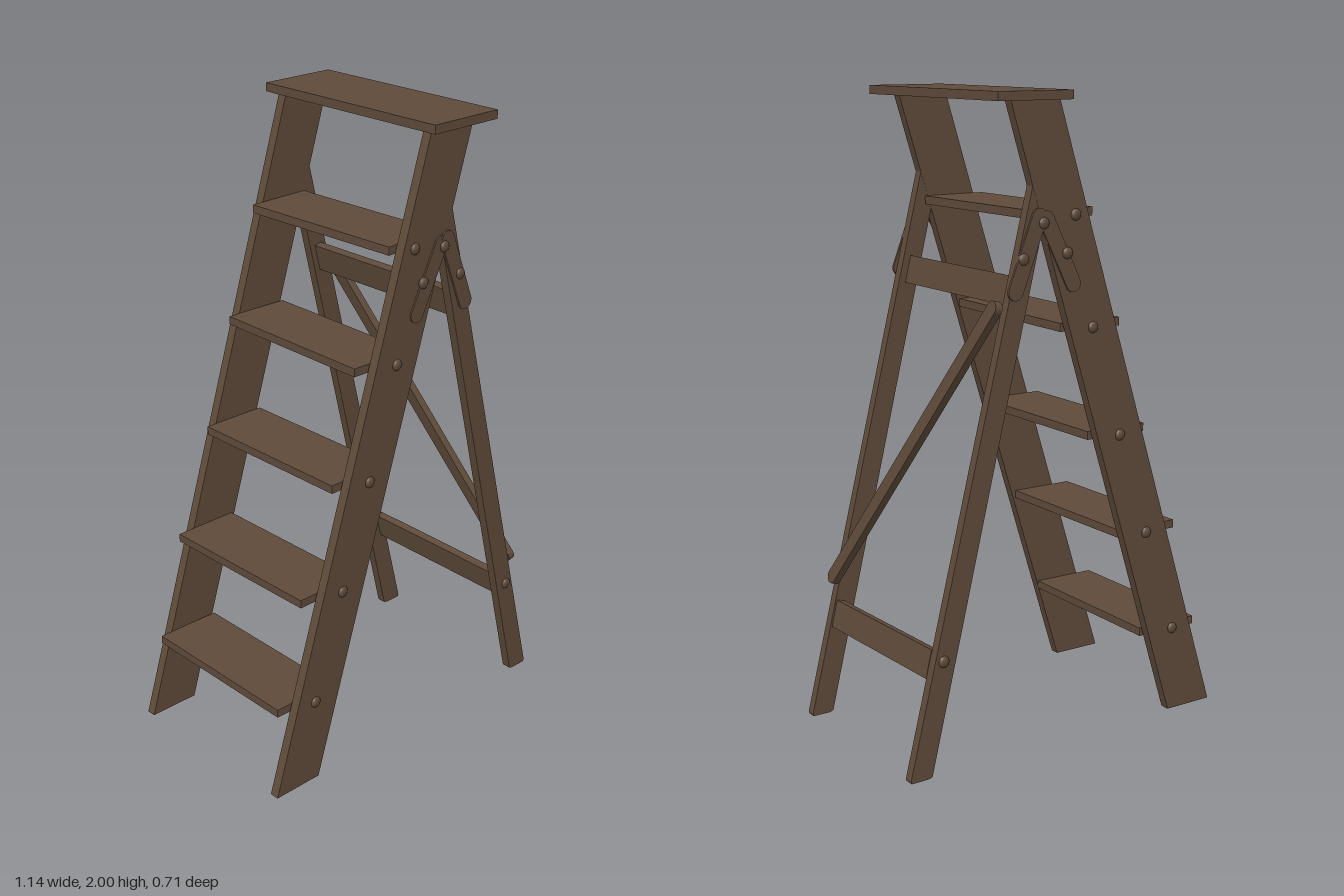
import * as THREE from 'three';

const wood = new THREE.MeshStandardMaterial({ color: 0x5e4a3a });
wood.name = 'dark brown wood';

// Flat outline in x/y, extruded along z and centred on z
function slab(points, depth) {
  const shape = new THREE.Shape(points.map(([x, y]) => new THREE.Vector2(x, y)));
  return new THREE.ExtrudeGeometry(shape, { depth, bevelEnabled: false }).translate(0, 0, -depth / 2);
}

// Round-ended bar along local x, centred on the origin
function roundBar(length, width, depth) {
  const r = width / 2, h = length / 2 - r;
  const s = new THREE.Shape();
  s.moveTo(-h, -r);
  s.lineTo(h, -r);
  s.absarc(h, 0, r, -Math.PI / 2, Math.PI / 2, false);
  s.lineTo(-h, r);
  s.absarc(-h, 0, r, Math.PI / 2, Math.PI * 1.5, false);
  return new THREE.ExtrudeGeometry(s, { depth, bevelEnabled: false, curveSegments: 8 }).translate(0, 0, -depth / 2);
}

export function createModel() {
  const group = new THREE.Group();
  const add = (name, geometry, x = 0, y = 0, z = 0) => {
    const mesh = new THREE.Mesh(geometry, wood);
    mesh.name = name;
    mesh.position.set(x, y, z);
    group.add(mesh);
    return mesh;
  };

  // Top board
  add('topBoard', new THREE.BoxGeometry(0.26, 0.027, 0.714), 0.155, 1.9865, -0.002);

  // Parts repeated on both sides
  const railGeo = slab([[-0.572, 0.008], [-0.402, 0.008], [0.218, 1.975], [0.046, 1.975]], 0.031);
  const legGeo = slab([[0.498, 0.004], [0.512, 0], [0.57, 0], [0.572, 0.008], [0.133, 1.762], [0.098, 1.64]], 0.03);
  const rivetGeo = new THREE.SphereGeometry(0.018, 12, 8);
  const rivets = [[-0.412, 0.285], [-0.298, 0.625], [-0.188, 0.955], [-0.08, 1.3], [-0.013, 1.64],
    [0.02, 1.53], [0.105, 1.622], [0.176, 1.522], [0.455, 0.357]];
  const straps = [[0.105, 1.655, -0.015, 1.415], [0.11, 1.665, 0.212, 1.405]];
  for (const side of [-1, 1]) {
    add('sideRail', railGeo, 0, 0, side * 0.3065);
    add('rearLeg', legGeo, 0, 0, side * 0.3065);
    // Hinge straps
    straps.forEach(([x0, y0, x1, y1], i) => {
      const strap = add('hingeStrap', roundBar(Math.hypot(x1 - x0, y1 - y0), 0.052, 0.008),
        (x0 + x1) / 2, (y0 + y1) / 2, side * (0.323 + i * 0.001));
      strap.rotation.z = Math.atan2(y1 - y0, x1 - x0);
    });
    // Rivet heads
    for (const [x, y] of rivets) {
      const strapped = y > 1.5 && x > 0;
      add('rivet', rivetGeo, x, y, side * (strapped ? 0.327 : 0.322)).scale.z = 0.55;
    }
  }

  // Steps: front edge x, height, slight yaw
  const steps = [[-0.53, 0.28, -0.015], [-0.437, 0.622, 0], [-0.308, 0.958, -0.004],
    [-0.21, 1.302, -0.024], [-0.094, 1.642, 0.024]];
  for (const [x, y, yaw] of steps) {
    add('step', new THREE.BoxGeometry(0.217, 0.026, 0.575), x + 0.1085, y, 0).rotation.y = yaw;
  }

  // Cross rails between the rear legs
  for (const [x, y, tilt] of [[0.182, 1.424, 0], [0.474, 0.337, 0.018]]) {
    const bar = add('rearCrossRail', new THREE.BoxGeometry(0.026, 0.088, 0.576), x, y, 0);
    bar.rotation.set(tilt, 0, 0.243, 'XYZ');
  }

  // Diagonal brace on the rear face of the legs
  const a = new THREE.Vector3(0.25, 1.4, -0.305), b = new THREE.Vector3(0.48, 0.435, 0.315);
  const along = b.clone().sub(a);
  const out = new THREE.Vector3(-along.y, along.x, 0).normalize();
  const brace = add('diagonalBrace', roundBar(along.length(), 0.046, 0.024));
  along.normalize();
  brace.quaternion.setFromRotationMatrix(
    new THREE.Matrix4().makeBasis(along, out.clone().cross(along), out));
  brace.position.copy(a).add(b).multiplyScalar(0.5);

  return group;
}
